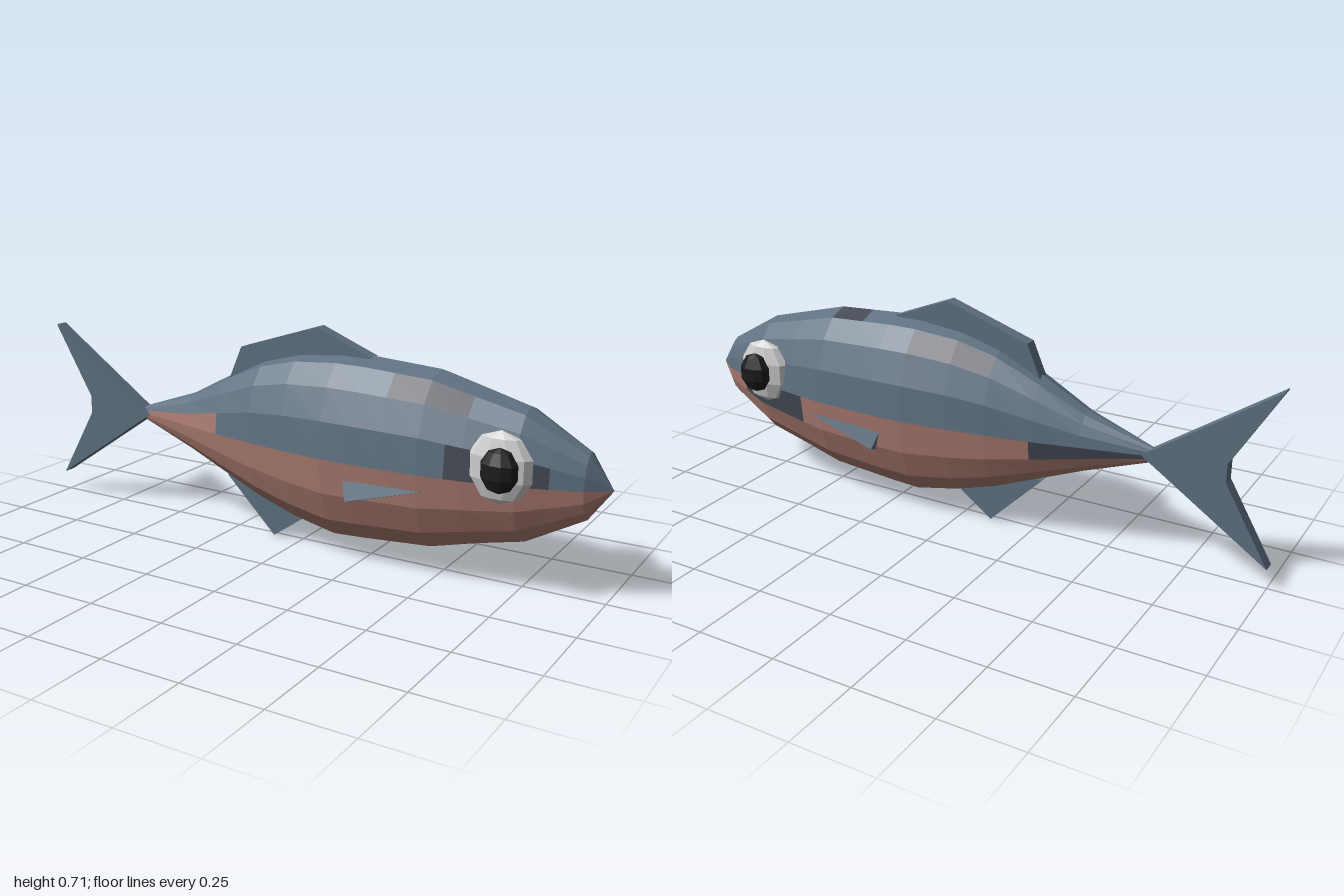
import * as THREE from 'three';
import { ConvexGeometry } from 'three/addons/geometries/ConvexGeometry.js';

const mat = (name, color, flatShading = true) => {
  const m = new THREE.MeshStandardMaterial({ color, flatShading });
  m.name = name;
  return m;
};

// Body stations along the length: x, top y, bottom y, half width
const MID = 0.338;
const STATIONS = [
  [-0.65, MID, MID, 0], [-0.63, 0.362, 0.315, 0.014], [-0.42, 0.435, 0.24, 0.066],
  [-0.27, 0.515, 0.178, 0.102], [-0.13, 0.585, 0.12, 0.13], [0, 0.62, 0.078, 0.148],
  [0.15, 0.635, 0.047, 0.166], [0.25, 0.634, 0.053, 0.168], [0.47, 0.62, 0.07, 0.16],
  [0.6, 0.585, 0.105, 0.142], [0.75, 0.545, 0.14, 0.115], [0.93, 0.44, 0.24, 0.052],
  [1, MID, MID, 0],
];
// Extra cuts where the scale patches begin and end
const CUTS = [0.35, 0.55, 0.84];
const SIDES = 16;

// Patches: row around the body, start x, end x, colour key
const PATCHES = [
  [1, 0.35, 0.6, 'dark'], [3, 0.55, 0.84, 'dark'], [3, -0.63, -0.27, 'belly'],
  [14, -0.13, 0.15, 'dark'], [15, 0.35, 0.47, 'dark'],
  [11, 0.55, 0.84, 'dark'], [11, -0.63, -0.27, 'dark'],
];

function stationAt(x) {
  const i = Math.max(1, STATIONS.findIndex((s) => s[0] >= x));
  const a = STATIONS[i - 1], b = STATIONS[i];
  const t = (x - a[0]) / (b[0] - a[0]);
  return a.map((v, k) => v + (b[k] - v) * t);
}

function bodyPoint([x, top, bottom, width], j) {
  const a = (j / SIDES) * Math.PI * 2;
  const c = Math.cos(a);
  return [x, MID + c * (c > 0 ? top - MID : MID - bottom), Math.sin(a) * width];
}

// Elliptical rings joined by quads, sorted into one surface per colour
function bodySurfaces() {
  const out = { back: [], belly: [], dark: [] };
  const xs = [...STATIONS.map((s) => s[0]), ...CUTS].sort((a, b) => a - b);
  const rings = xs.map(stationAt);
  for (let i = 0; i < rings.length - 1; i++) {
    const centre = (xs[i] + xs[i + 1]) / 2;
    for (let j = 0; j < SIDES; j++) {
      const patch = PATCHES.find((p) => p[0] === j && centre > p[1] && centre < p[2]);
      const key = patch ? patch[3] : j >= 4 && j < 12 ? 'belly' : 'back';
      const a = bodyPoint(rings[i], j), b = bodyPoint(rings[i + 1], j);
      const c = bodyPoint(rings[i + 1], j + 1), d = bodyPoint(rings[i], j + 1);
      out[key].push(...a, ...d, ...c, ...a, ...c, ...b);
    }
  }
  return out;
}

// Flat fin cut from an outline in the middle plane
function finGeometry(points) {
  const shape = new THREE.Shape(points.map(([x, y]) => new THREE.Vector2(x, y)));
  const g = new THREE.ExtrudeGeometry(shape, { depth: 0.042, bevelEnabled: false });
  return g.translate(0, 0, -0.021);
}

export function createModel() {
  const model = new THREE.Group();
  model.name = 'fish';
  const mats = {
    back: mat('slate back', 0x5f7182),
    belly: mat('salmon belly', 0xad7d72),
    dark: mat('dark scales', 0x444955),
    white: mat('eye white', 0xd0d0d0),
    pupil: mat('pupil black', 0x1c1c1c),
  };
  const add = (name, geometry, material, parent = model) => {
    const mesh = new THREE.Mesh(geometry, material);
    mesh.name = name;
    parent.add(mesh);
    return mesh;
  };

  // Body
  const body = new THREE.Group();
  body.name = 'body';
  model.add(body);
  const names = { back: 'upperBody', belly: 'belly', dark: 'darkPatches' };
  for (const [key, positions] of Object.entries(bodySurfaces())) {
    const g = new THREE.BufferGeometry();
    g.setAttribute('position', new THREE.Float32BufferAttribute(positions, 3));
    g.computeVertexNormals();
    add(names[key], g, mats[key], body);
  }

  // Middle fins
  add('tailFin', finGeometry([[-1, 0.612], [-1, 0.608], [-0.86, 0.37], [-0.86, 0.31],
    [-1, 0.07], [-0.6, MID]]), mats.back);
  add('dorsalFin', finGeometry([[-0.27, 0.5], [0.1, 0.58], [0.25, 0.63], [0.06, 0.706],
    [-0.22, 0.615]]), mats.back);
  add('analFin', finGeometry([[-0.28, 0.178], [-0.1, 0], [0.01, 0.078], [-0.12, 0.18]]), mats.back);

  // Side fins and eyes, mirrored
  for (const s of [1, -1]) {
    const side = s > 0 ? 'left' : 'right';
    const finPoints = [[0.23, 0.285, 0.16], [0.25, 0.225, 0.18], [0.49, 0.292, 0.165]]
      .flatMap(([x, y, z]) => [new THREE.Vector3(x, y, s * z), new THREE.Vector3(x, y - 0.008, s * (z - 0.03))]);
    add(side + 'SideFin', new ConvexGeometry(finPoints), mats.back);

    const eye = add(side + 'Eye', new THREE.SphereGeometry(1, 10, 5), mats.white);
    eye.scale.set(0.1, 0.108, 0.039);
    eye.position.set(0.712, 0.392, s * 0.122);

    const pupil = add(side + 'Pupil', new THREE.SphereGeometry(1, 10, 5), mats.pupil);
    pupil.scale.set(0.058, 0.067, 0.038);
    pupil.position.set(0.724, 0.394, s * 0.16);
  }
  return model;
}
